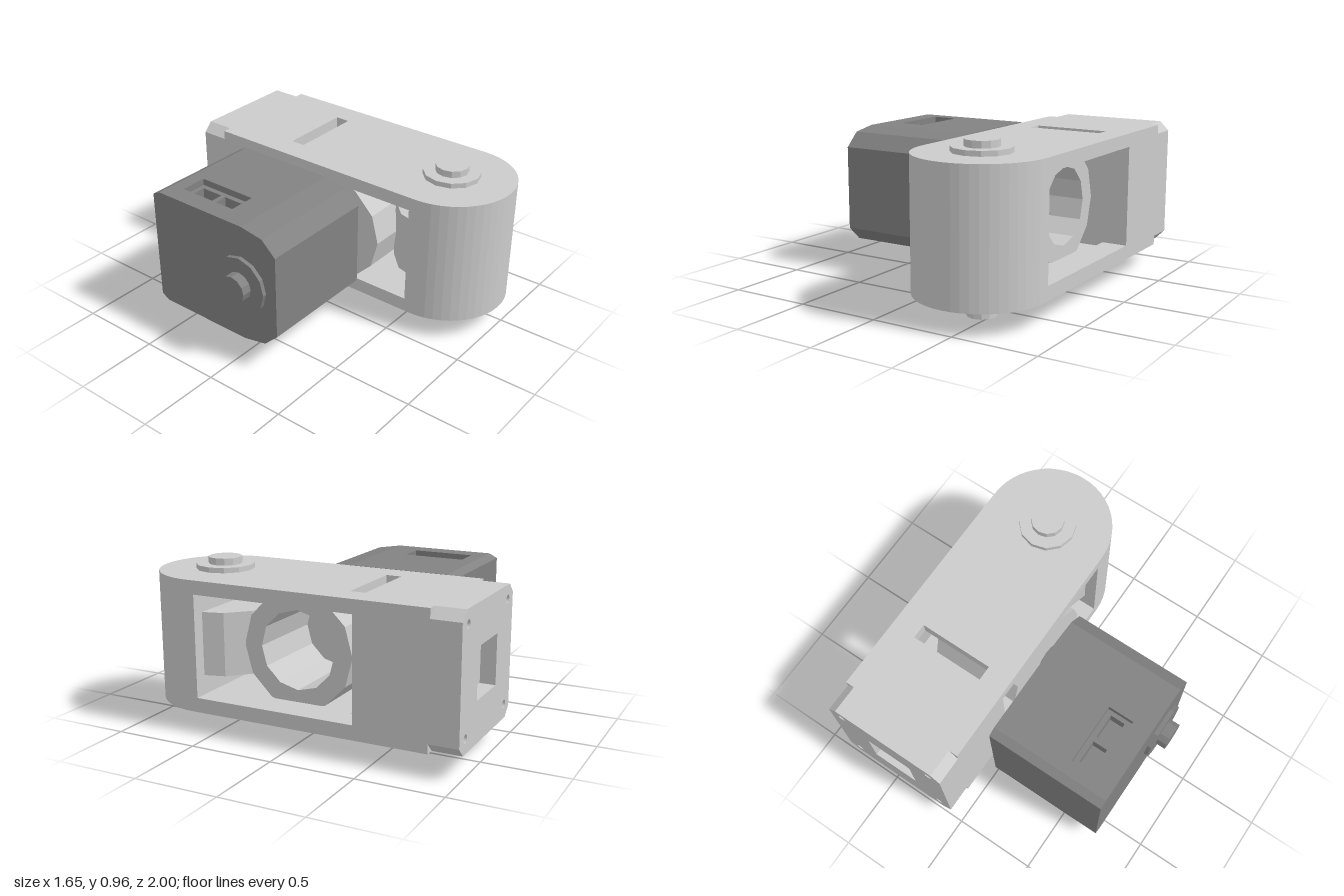
import * as THREE from 'three';

const light = new THREE.MeshStandardMaterial({ color: 0xcccccc, flatShading: true });
const dark = new THREE.MeshStandardMaterial({ color: 0x828282, flatShading: true });

// Bracket limits and the two axes
const X0 = 0.06, X1 = 0.825, Y0 = 0.13, Y1 = 0.895;
const CX = (X0 + X1) / 2, CY = 0.515, R = (X1 - X0) / 2;
const PIVOT_Z = 1 - R, MOTOR_Z = 0.035;
const WIN_Y0 = 0.215, WIN_Y1 = 0.815, WIN_FRONT = 0.58, WIN_BACK = -0.4, BLOCK_BACK = -0.83;

const polygon = (pts) => new THREE.Shape(pts.map(([a, b]) => new THREE.Vector2(a, b)));
const rect = (a0, a1, b0, b1) => polygon([[a0, b0], [a1, b0], [a1, b1], [a0, b1]]);
const circle = (x, y, r) => new THREE.Path().absarc(x, y, r, 0, Math.PI * 2);

function extrude(shape, depth) {
  return new THREE.ExtrudeGeometry(shape, { depth, bevelEnabled: false, curveSegments: 12 });
}

function add(parent, name, geometry, material = light) {
  const mesh = new THREE.Mesh(geometry, material);
  mesh.name = name;
  parent.add(mesh);
  return mesh;
}

// Rounded outline of the bracket seen from above, from z = back to the nose (shape y is -z)
function roundedOutline(back) {
  const s = new THREE.Shape();
  s.moveTo(X0, -back);
  s.lineTo(X0, -PIVOT_Z);
  s.absarc(CX, -PIVOT_Z, R, Math.PI, Math.PI * 2, false);
  s.lineTo(X1, -back);
  s.closePath();
  return s;
}

function slab(shape, y0, y1) {
  return extrude(shape, y1 - y0).rotateX(-Math.PI / 2).translate(0, y0, 0);
}

function diskY(parent, name, r, y0, y1) {
  add(parent, name, new THREE.CylinderGeometry(r, r, y1 - y0, 12).translate(CX, (y0 + y1) / 2, PIVOT_Z));
}

function diskX(parent, name, r, x0, x1) {
  const g = new THREE.CylinderGeometry(r, r, x1 - x0, 12).rotateZ(-Math.PI / 2);
  add(parent, name, g.translate((x0 + x1) / 2, CY, MOTOR_Z), dark);
}

function buildBracket() {
  const g = new THREE.Group();
  g.name = 'bracket';

  // Slotted top and bottom plates
  const plate = roundedOutline(BLOCK_BACK);
  plate.holes.push(rect(0.215, 0.67, 0.31, 0.4));
  add(g, 'bottomPlate', slab(plate, Y0, WIN_Y0));
  add(g, 'topPlate', slab(plate, WIN_Y1, Y1));

  // Solid nose and rear block on either side of the window
  add(g, 'nose', slab(roundedOutline(WIN_FRONT), WIN_Y0, WIN_Y1));
  add(g, 'rearBlock', slab(rect(X0, X1, -WIN_BACK, -BLOCK_BACK), WIN_Y0, WIN_Y1));

  // Rear mounting end with clipped corners, screw holes and a square socket
  const c = 0.055;
  const endShape = () => {
    const s = polygon([[X0 + c, Y0], [X1 - c, Y0], [X1, Y0 + c], [X1, Y1 - c],
      [X1 - c, Y1], [X0 + c, Y1], [X0, Y1 - c], [X0, Y0 + c]]);
    for (const sx of [-1, 1]) for (const sy of [-1, 1]) {
      s.holes.push(circle(CX + sx * 0.3, CY + sy * 0.3, 0.024));
    }
    return s;
  };
  const face = endShape();
  face.holes.push(rect(CX - 0.145, CX + 0.145, CY - 0.145, CY + 0.145));
  add(g, 'rearFace', extrude(face, 0.09).translate(0, 0, -1));
  const floor = endShape();
  floor.holes.push(circle(CX, CY, 0.045));
  add(g, 'rearSocketFloor', extrude(floor, 0.08).translate(0, 0, -0.91));

  // Vertical pivot: inner drum, washers, knob and pin
  diskY(g, 'pivotDrum', 0.317, 0.33, 0.7);
  diskY(g, 'topWasher', 0.17, Y1, 0.925);
  diskY(g, 'topKnob', 0.098, 0.925, 0.965);
  diskY(g, 'bottomWasher', 0.17, 0.1, Y0);
  diskY(g, 'bottomPin', 0.085, 0, 0.1);

  // Hollow output cup inside the window
  const cup = [[0, 0], [0.34, 0], [0.34, 0.57], [0.23, 0.57], [0.23, 0.05], [0, 0.05]];
  const cupGeometry = new THREE.LatheGeometry(cup.map(([r, h]) => new THREE.Vector2(r, h)), 12);
  add(g, 'outputCup', cupGeometry.rotateZ(-Math.PI / 2).translate(0.06, CY, MOTOR_Z));
  return g;
}

function buildMotor() {
  const g = new THREE.Group();
  g.name = 'motor';

  // Side profile as [z, y]; top holds the points of any pocket, from front to back
  const segment = (x0, x1, top = []) => {
    const pts = [[-0.63, 0.175], [-0.58, 0.145], [0.04, 0.145], [0.19, 0.175], [0.28, 0.26],
      [0.28, 0.77], [0.19, 0.855], [0.04, 0.88], ...top, [-0.58, 0.88], [-0.63, 0.855]];
    const shape = polygon(pts.map(([z, y]) => [-z, y]));
    add(g, 'motorBody', extrude(shape, x1 - x0).rotateY(Math.PI / 2).translate(x0, 0, 0), dark);
  };
  const T = 0.88, P = 0.84, S = 0.76;
  const pocket = [[-0.125, T], [-0.125, P], [-0.5, P], [-0.5, T]];
  const sockets = [[-0.125, T], [-0.125, P], [-0.15, P], [-0.15, S], [-0.3, S], [-0.3, P],
    [-0.33, P], [-0.33, S], [-0.47, S], [-0.47, P], [-0.5, P], [-0.5, T]];
  segment(-0.745, -0.63);
  segment(-0.63, -0.592, pocket);
  segment(-0.592, -0.502, sockets);
  segment(-0.502, -0.47, pocket);
  segment(-0.47, -0.01);

  // Flanges and shaft ends on both sides
  diskX(g, 'outerFlange', 0.175, -0.77, -0.745);
  diskX(g, 'outerShaft', 0.085, -0.83, -0.77);
  diskX(g, 'innerFlange', 0.175, -0.01, 0.02);
  diskX(g, 'innerShaft', 0.085, 0.02, 0.07);
  return g;
}

export function createModel() {
  const model = new THREE.Group();
  model.name = 'servoJoint';
  model.add(buildBracket(), buildMotor());
  return model;
}
